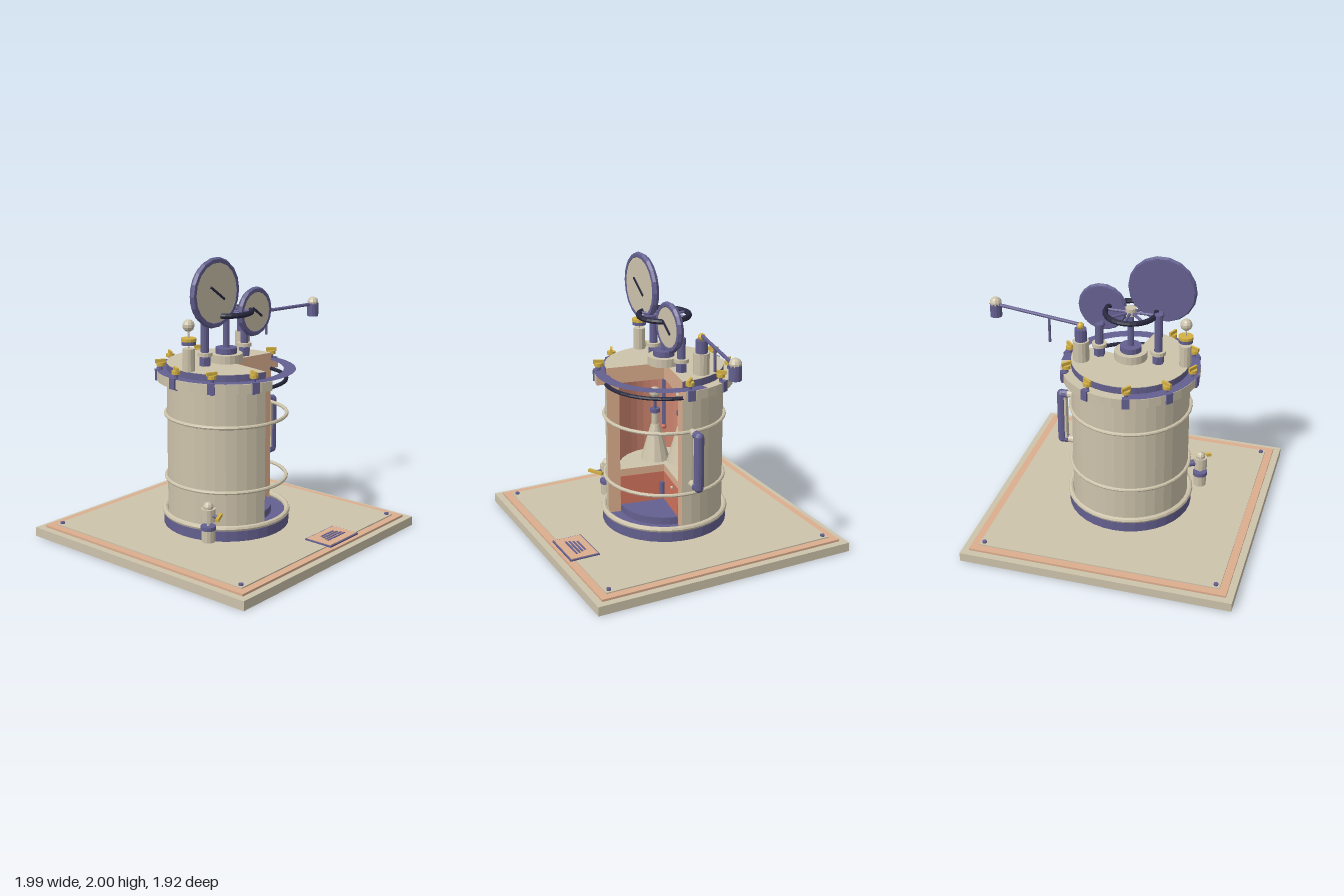
import * as THREE from 'three';

const RAD = Math.PI / 180;
const CX = -0.04;                       // vessel axis
const START = 80 * RAD, SWEEP = 270 * RAD; // the remaining 90 degrees are cut away

export function createModel() {
  const root = new THREE.Group();
  root.name = 'cutawaySteriliser';
  const mat = (name, color) => new THREE.MeshStandardMaterial({ name, color, flatShading: true, side: THREE.DoubleSide });
  const cream = mat('cream', 0xcdc3ab), blue = mat('slateBlue', 0x646090), dark = mat('darkNavy', 0x27273e);
  const yellow = mat('brass', 0xd3b044), peach = mat('peach', 0xdcae8e);
  const red = mat('red', 0xd0725c), salmon = mat('salmon', 0xd28872);

  const add = (name, geo, m, x = 0, y = 0, z = 0, parent = root) => {
    const mesh = new THREE.Mesh(geo, m);
    mesh.name = name;
    mesh.position.set(x, y, z);
    parent.add(mesh);
    return mesh;
  };
  const box = (name, m, w, h, d, x, y, z, p) => add(name, new THREE.BoxGeometry(w, h, d), m, x, y, z, p);
  // upright cylinder between two heights
  const cyl = (name, m, r, y0, y1, x, z, seg = 12, rTop = r, p = root) =>
    add(name, new THREE.CylinderGeometry(rTop, r, y1 - y0, seg), m, x, (y0 + y1) / 2, z, p);
  const ball = (name, m, r, x, y, z, p) => add(name, new THREE.SphereGeometry(r, 10, 7), m, x, y, z, p);
  const ring = (name, m, r, tube, y, x = CX, z = 0, seg = 36) => {
    const t = add(name, new THREE.TorusGeometry(r, tube, 8, seg), m, x, y, z);
    t.rotation.x = Math.PI / 2;
    return t;
  };
  const rod = (name, m, r, a, b, p = root) => {
    const A = new THREE.Vector3(...a), B = new THREE.Vector3(...b), d = B.clone().sub(A);
    const mid = A.clone().add(B).multiplyScalar(0.5);
    const c = add(name, new THREE.CylinderGeometry(r, r, d.length(), 10), m, mid.x, mid.y, mid.z, p);
    c.quaternion.setFromUnitVectors(new THREE.Vector3(0, 1, 0), d.normalize());
    return c;
  };
  // three-quarter cylinder about the vessel axis
  const sector = (name, m, r, y0, y1, open = false) =>
    add(name, new THREE.CylinderGeometry(r, r, y1 - y0, 27, 1, open, START, SWEEP), m, CX, (y0 + y1) / 2, 0);
  // the two flat faces left by the cut
  const cutFaces = (name, m, r0, r1, y0, y1) => {
    for (const a of [START, START + SWEEP]) {
      const r = (r0 + r1) / 2;
      const f = add(name, new THREE.PlaneGeometry(r1 - r0, y1 - y0), m,
        CX + Math.sin(a) * r, (y0 + y1) / 2, Math.cos(a) * r);
      f.rotation.y = a - Math.PI / 2;
    }
  };

  // Base board
  box('baseBoard', cream, 1.92, 0.065, 1.92, CX, 0.0325, 0);
  box('baseTrim', peach, 1.82, 0.015, 1.82, CX, 0.0725, 0);
  box('baseTop', cream, 1.71, 0.008, 1.71, CX, 0.084, 0);
  for (const sx of [-1, 1]) for (const sz of [-1, 1])
    cyl('baseScrew', blue, 0.016, 0.088, 0.1, CX + sx * 0.825, sz * 0.825, 10);

  // Plate with plain bars
  box('plateBorder', blue, 0.325, 0.01, 0.215, 0.16, 0.092, 0.785);
  box('plateFace', peach, 0.305, 0.006, 0.195, 0.16, 0.098, 0.785);
  [[0.14, 0.745], [0.165, 0.77], [0.185, 0.795], [0.2, 0.82]].forEach(([w, z]) =>
    box('plateBar', blue, w, 0.005, 0.014, 0.162, 0.102, z));

  // Vessel
  cyl('vesselFoot', blue, 0.445, 0.085, 0.16, CX, 0, 36);
  ring('footRing', cream, 0.435, 0.02, 0.178);
  cyl('chamberFloor', blue, 0.32, 0.16, 0.213, CX, 0, 36);
  sector('outerWall', cream, 0.415, 0.155, 1.14, true);
  sector('innerWall', salmon, 0.325, 0.45, 1.14, true);
  cutFaces('wallCut', peach, 0.325, 0.415, 0.16, 1.14);
  sector('lowerFill', red, 0.323, 0.2, 0.43);
  cutFaces('lowerFillCut', red, 0, 0.323, 0.2, 0.43);
  sector('shelf', cream, 0.323, 0.431, 0.485);
  cutFaces('shelfCut', peach, 0, 0.323, 0.431, 0.485);
  ring('lowerBand', cream, 0.425, 0.013, 0.43);
  ring('upperBand', cream, 0.425, 0.013, 0.887);
  ring('gasket', dark, 0.418, 0.014, 1.135);
  cyl('heaterStub', blue, 0.018, 0.26, 0.355, -0.03, 0.02);
  ball('sensorDot', cream, 0.012, 0.16, 0.39, 0.04);

  // Flasks and thermometer inside
  for (const [x, z] of [[-0.18, 0], [CX, -0.14]]) {
    const g = new THREE.Group();
    g.name = 'flask';
    g.position.set(x, 0, z);
    root.add(g);
    cyl('flaskBody', cream, 0.105, 0.487, 0.75, 0, 0, 12, 0.03, g);
    cyl('flaskNeck', cream, 0.026, 0.75, 0.85, 0, 0, 10, 0.026, g);
    cyl('flaskCollar', blue, 0.035, 0.84, 0.87, 0, 0, 10, 0.035, g);
    cyl('stopperStem', blue, 0.012, 0.87, 0.96, 0, 0, 8, 0.012, g);
    ball('flaskStopper', cream, 0.042, 0, 0.99, 0, g);
  }
  cyl('thermometerRod', blue, 0.013, 0.79, 1.13, CX, 0, 8);
  ball('thermometerBulb', red, 0.02, CX, 0.78, 0);

  // Lid
  sector('lidFlange', cream, 0.485, 1.135, 1.2);
  const rim = add('flangeTop', new THREE.RingGeometry(0.4, 0.485, 27, 1, START - Math.PI / 2, SWEEP), blue, CX, 1.203, 0);
  rim.rotation.x = Math.PI / 2;
  sector('lidSide', blue, 0.415, 1.2, 1.249, true);
  sector('lidTop', cream, 0.414, 1.2, 1.252);
  cutFaces('flangeCut', peach, 0, 0.485, 1.135, 1.203);
  cutFaces('lidCut', peach, 0, 0.415, 1.203, 1.252);

  // Clamping wing nuts around the flange
  for (let i = 0; i < 8; i++) {
    const g = new THREE.Group(), a = (85 + 35.6 * i) * RAD;
    g.name = 'clamp';
    g.position.set(CX, 0, 0);
    g.rotation.y = a;
    root.add(g);
    box('clampLug', blue, 0.05, 0.075, 0.035, 0, 1.17, 0.478, g);
    cyl('clampStud', blue, 0.013, 1.12, 1.235, 0, 0.455, 8, 0.013, g);
    cyl('clampNut', yellow, 0.03, 1.232, 1.256, 0, 0.455, 10, 0.03, g);
    box('clampWing', yellow, 0.075, 0.026, 0.016, 0, 1.265, 0.455, g).rotation.y = 0.9 + i;
  }

  // Hand wheel
  cyl('wheelBoss', cream, 0.115, 1.25, 1.31, CX, 0, 20);
  cyl('wheelCollar', blue, 0.075, 1.31, 1.35, CX, 0, 16);
  cyl('wheelStem', blue, 0.023, 1.35, 1.63, CX, 0);
  ring('wheelRim', dark, 0.175, 0.019, 1.6, CX, 0, 28);
  for (let i = 0; i < 8; i++) {
    const a = i * Math.PI / 4, s = Math.sin(a), c = Math.cos(a);
    rod('wheelSpoke', blue, 0.01, [CX + s * 0.03, 1.6, c * 0.03], [CX + s * 0.17, 1.6, c * 0.17]);
  }
  cyl('wheelHub', cream, 0.038, 1.58, 1.635, CX, 0);

  // Pressure gauges
  const gauge = (name, x, y, r, postTop, needle) => {
    const g = new THREE.Group();
    g.name = name;
    root.add(g);
    add('gaugeBody', new THREE.CylinderGeometry(r - 0.015, r - 0.015, 0.035, 18), blue, x, y, 0.065, g).rotation.x = Math.PI / 2;
    add('gaugeRim', new THREE.TorusGeometry(r - 0.022, 0.022, 6, 18), blue, x, y, 0.072, g);
    add('gaugeFace', new THREE.CircleGeometry(r - 0.037, 18), cream, x, y, 0.09, g);
    const n = box('gaugeNeedle', dark, needle, 0.014, 0.008, x, y, 0.097, g);
    n.rotation.z = -35 * RAD;
    cyl('gaugeNut', blue, 0.04, 1.25, 1.31, x, -0.02, 6, 0.04, g);
    cyl('gaugeCollar', cream, 0.052, 1.32, 1.345, x, -0.02, 14, 0.052, g);
    cyl('gaugePost', blue, 0.029, 1.3, postTop, x, -0.02, 12, 0.029, g);
    rod('gaugeElbow', blue, 0.024, [x, postTop - 0.03, -0.02], [x, postTop - 0.03, 0.06], g);
  };
  gauge('largeGauge', -0.24, 1.763, 0.24, 1.62, 0.17);
  gauge('smallGauge', 0.18, 1.578, 0.175, 1.49, 0.125);

  // Whistle valve on the lid
  cyl('ventBody', cream, 0.042, 1.25, 1.405, -0.425, 0, 12);
  cyl('ventStem', cream, 0.006, 1.4, 1.53, -0.425, 0, 6);
  cyl('ventCollar', blue, 0.05, 1.43, 1.455, -0.425, 0, 12);
  cyl('ventCap', yellow, 0.053, 1.455, 1.475, -0.425, 0, 12);
  ball('ventKnob', cream, 0.042, -0.425, 1.56, 0);

  // Weighted safety valve
  cyl('safetyBody', cream, 0.056, 1.25, 1.4, 0.28, -0.12, 14);
  cyl('safetyNeck', blue, 0.042, 1.4, 1.49, 0.28, -0.12, 12);
  ball('safetyPivot', yellow, 0.026, 0.28, 1.51, -0.12);
  rod('safetyLever', blue, 0.012, [0.28, 1.52, -0.12], [0.945, 1.52, 0.012]);
  cyl('leverGuide', blue, 0.01, 1.34, 1.515, 0.515, -0.09, 8);
  cyl('leverWeight', blue, 0.042, 1.43, 1.53, 0.945, 0.012, 12);
  ball('leverWeightCap', cream, 0.043, 0.945, 1.532, 0.012);

  // Side handle
  for (const y of [0.5, 0.88]) {
    rod('handleArm', cream, 0.026, [0.36, y, 0], [0.47, y, 0]);
    rod('handleCollar', blue, 0.03, [0.43, y, 0], [0.47, y, 0]);
    ball('handleEnd', blue, 0.035, 0.474, y - Math.sign(y - 0.7) * 0.005, 0);
  }
  cyl('handleGrip', blue, 0.035, 0.505, 0.875, 0.474, 0, 12);
  box('handleInset', cream, 0.02, 0.34, 0.05, 0.446, 0.69, 0);

  // Drain tap
  const tx = -0.507, tz = 0.24;
  rod('drainPipe', blue, 0.024, [-0.39, 0.31, 0.18], [tx, 0.31, tz]);
  cyl('drainBody', cream, 0.05, 0.265, 0.355, tx, tz, 12);
  ball('drainDome', cream, 0.036, tx, 0.365, tz);
  cyl('drainCollar', blue, 0.053, 0.205, 0.232, tx, tz, 12);
  cyl('drainStem', cream, 0.01, 0.22, 0.27, tx, tz, 8);
  cyl('drainSpout', cream, 0.047, 0.12, 0.206, tx, tz, 12);
  rod('drainSpindle', blue, 0.012, [tx, 0.31, tz], [-0.505, 0.31, 0.33]);
  box('drainLever', yellow, 0.125, 0.022, 0.022, -0.505, 0.31, 0.332).rotation.y = 28 * RAD;

  return root;
}
